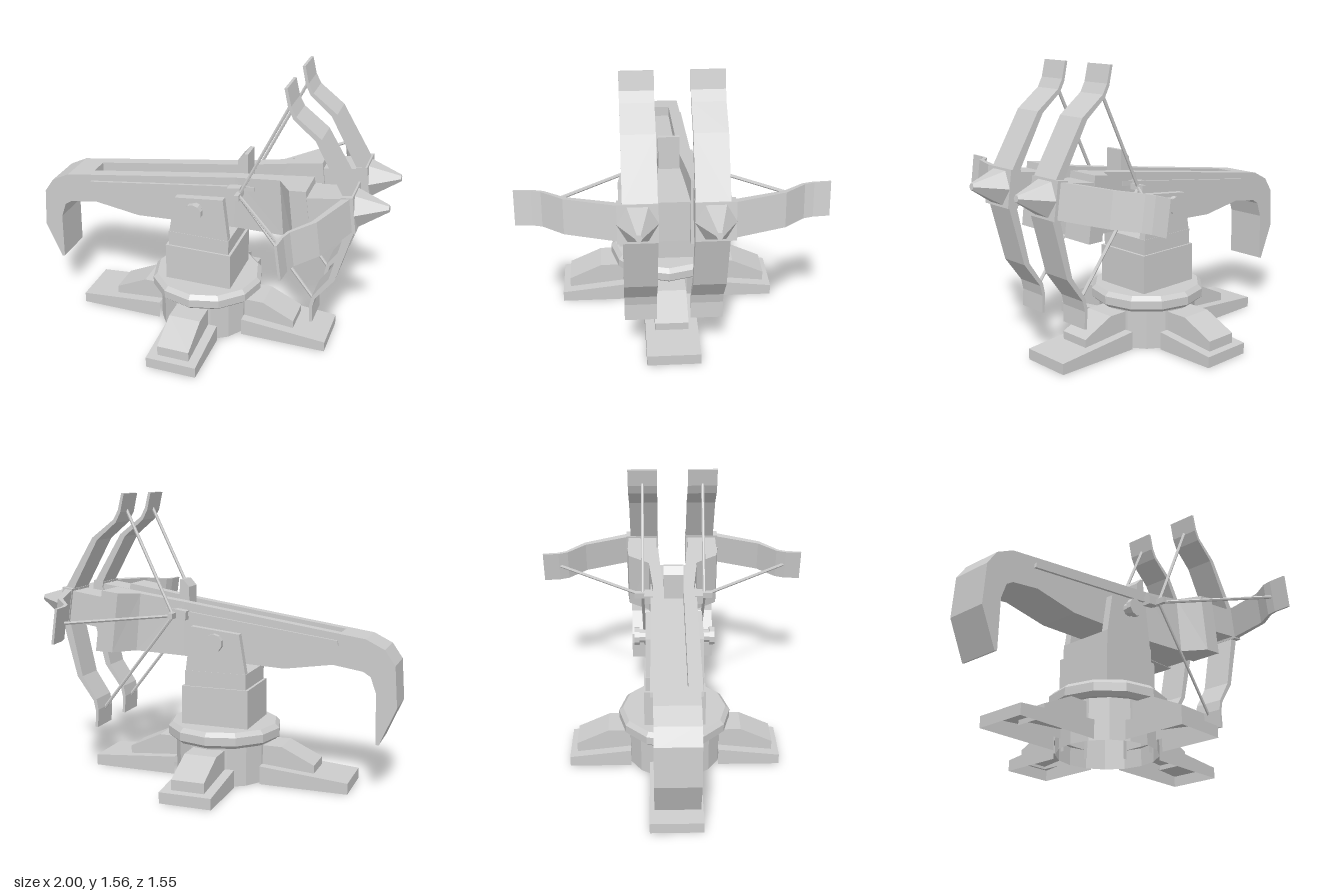
import * as THREE from 'three';

const mat = new THREE.MeshStandardMaterial({ color: 0xcccccc, flatShading: true, side: THREE.DoubleSide });
const V = (x, y, z) => new THREE.Vector3(x, y, z);

function add(parent, name, geo, x = 0, y = 0, z = 0) {
  const m = new THREE.Mesh(geo, mat);
  m.name = name;
  m.position.set(x, y, z);
  parent.add(m);
  return m;
}

// Plate cut from an XY outline, spanning z0..z1
function plate(pts, z0, z1) {
  const shape = new THREE.Shape(pts.map(p => new THREE.Vector2(p[0], p[1])));
  return new THREE.ExtrudeGeometry(shape, { depth: z1 - z0, bevelEnabled: false }).translate(0, 0, z0);
}

// Skin between equal-sized cross-sections; closed rings also get end caps
function loft(sections, closed) {
  const pos = [];
  const quad = (a, b, c, d) => [a, b, c, a, c, d].forEach(p => pos.push(...p));
  const n = sections[0].length;
  for (let i = 0; i < sections.length - 1; i++) {
    for (let j = 0; j < (closed ? n : n - 1); j++) {
      const k = (j + 1) % n;
      quad(sections[i][j], sections[i + 1][j], sections[i + 1][k], sections[i][k]);
    }
  }
  if (closed) {
    quad(...sections[0]);
    quad(...[...sections[sections.length - 1]].reverse());
  }
  const g = new THREE.BufferGeometry();
  g.setAttribute('position', new THREE.Float32BufferAttribute(pos, 3));
  g.computeVertexNormals();
  return g;
}

// Round bar between two points
function rod(a, b, r) {
  const d = b.clone().sub(a);
  const g = new THREE.CylinderGeometry(r, r, d.length(), 6);
  g.applyQuaternion(new THREE.Quaternion().setFromUnitVectors(V(0, 1, 0), d.normalize()));
  const c = a.clone().add(b).multiplyScalar(0.5);
  return g.translate(c.x, c.y, c.z);
}

// Hollow foot, open below: steps are [distance, height]
function foot(steps, w, y0) {
  return loft([[steps[0][0], y0], ...steps].map(([d, h]) =>
    [[d, y0, -w], [d, h, -w], [d, h, w], [d, y0, w]]), false);
}

function buildBase(root) {
  const base = new THREE.Group();
  base.name = 'base';
  base.position.x = -0.025;
  root.add(base);
  for (let i = 0; i < 4; i++) {
    const leg = new THREE.Group();
    leg.name = 'leg';
    leg.rotation.y = i * Math.PI / 2;
    const L = i % 2 ? 0.6 : 0.735, U = i % 2 ? 0.56 : 0.54;
    add(leg, 'footSlab', foot([[L, 0.06], [0.25, 0.1]], 0.142, 0));
    add(leg, 'footWedge', foot([[U, 0.12], [U - 0.18, 0.205], [0.23, 0.205]], 0.09, 0.05));
    base.add(leg);
  }
  add(base, 'hub', new THREE.CylinderGeometry(0.27, 0.27, 0.23, 16, 1, true), 0, 0.115, 0);
  const ring = [[0.24, 0.22], [0.295, 0.22], [0.318, 0.24], [0.318, 0.285], [0.295, 0.308], [0, 0.308]];
  add(base, 'turntable', new THREE.LatheGeometry(ring.map(p => new THREE.Vector2(...p)), 12));
  add(base, 'pedestal', new THREE.BoxGeometry(0.38, 0.22, 0.34), 0, 0.41, 0);
  add(base, 'pedestalTop', new THREE.BoxGeometry(0.35, 0.09, 0.32), 0, 0.56, 0);

  // Fork cheeks and pivot pins on both sides of the beam
  for (const s of [1, -1]) {
    const side = new THREE.Group();
    side.name = 'fork';
    side.scale.z = s;
    add(side, 'forkCheek', plate([[-0.172, 0.6], [0.172, 0.6], [0.14, 0.85], [-0.135, 0.82]], 0.117, 0.158));
    const pin = add(side, 'pivotPin', new THREE.CylinderGeometry(0.036, 0.036, 0.06, 10), -0.01, 0.775, 0.17);
    const cap = add(side, 'pivotCap', new THREE.CylinderGeometry(0.05, 0.05, 0.028, 10), -0.01, 0.775, 0.205);
    pin.rotation.x = cap.rotation.x = Math.PI / 2;
    base.add(side);
  }
}

function buildBeam(root) {
  const beam = new THREE.Group();
  beam.name = 'beam';
  root.add(beam);
  const hook = [[-0.66, 0.685], [-0.82, 0.66], [-0.86, 0.635], [-0.89, 0.55], [-0.895, 0.28], [-0.91, 0.275],
    [-1, 0.48], [-0.985, 0.7], [-0.93, 0.78], [-0.83, 0.83]];
  // Core with the sunken bolt slot
  add(beam, 'beamCore', plate([[0.6, 0.7], [0.3, 0.69], [0.1, 0.67], [-0.4, 0.645], ...hook,
    [-0.69, 0.85], [-0.69, 0.79], [0.17, 0.905], [0.595, 0.92]], -0.09, 0.09));
  // Sight block at the end of the slot
  add(beam, 'sightPeg', plate([[0.165, 0.88], [0.225, 0.88], [0.22, 1.09], [0.2, 1.09], [0.165, 1.05]], -0.055, 0.055));

  for (const s of [1, -1]) {
    const side = new THREE.Group();
    side.name = 'beamSide';
    side.scale.z = s;
    beam.add(side);
    add(side, 'sideWall', plate([[0.17, 0.676], [0.1, 0.67], [-0.4, 0.645], ...hook, [0.17, 0.975]], 0.055, 0.115));
    // Splayed arm carrying the launcher: [topX, topY, bottomX, bottomY, inner z, outer z]
    const arm = [
      [0.17, 0.975, 0.17, 0.676, 0.055, 0.115],
      [0.42, 1.012, 0.45, 0.692, 0.075, 0.14],
      [0.5, 1.024, 0.54, 0.696, 0.08, 0.26],
      [0.59, 1.037, 0.635, 0.7, 0.085, 0.27],
    ];
    add(side, 'launcherArm', loft(arm.map(([a, b, c, d, i, o]) => [[a, b, i], [a, b, o], [c, d, o], [c, d, i]]), true));
    add(side, 'sideRail', plate([[-0.69, 0.788], [0.28, 0.918], [0.28, 0.943], [-0.685, 0.815]], 0.11, 0.13));
    add(side, 'slider', plate([[0.145, 0.88], [0.215, 0.89], [0.21, 0.94], [0.14, 0.93]], 0.11, 0.165));
    add(side, 'stringCatch', plate([[0.2, 0.89], [0.225, 0.893], [0.222, 0.925], [0.197, 0.922]], 0.13, 0.22));
  }
}

// One bow limb outline as [forward, outward]
const outer = [[0.265, 0.02], [0.281, 0.091], [0.153, 0.392], [0.038, 0.51], [0.018, 0.564], [0.009, 0.656]];
const inner = [[-0.006, 0.656], [0.002, 0.555], [0.022, 0.497], [0.122, 0.385], [0.231, 0.098], [0.215, 0.02]];

function buildLaunchers(root) {
  const frame = new THREE.Group();
  frame.name = 'launchers';
  frame.position.set(0.555, 0.91, 0);
  frame.rotation.z = 0.143;
  root.add(frame);
  for (const s of [1, -1]) {
    const side = new THREE.Group();
    side.name = 'launcher';
    side.scale.z = s;
    frame.add(side);
    const zc = 0.182, start = V(-0.342, 0.044, 0.175);
    add(side, 'head', new THREE.BoxGeometry(0.22, 0.17, 0.17), 0.14, 0, zc);
    add(side, 'collar', new THREE.BoxGeometry(0.06, 0.195, 0.195), 0.258, 0, zc);
    const nose = new THREE.CylinderGeometry(0.018, 0.1, 0.16, 6).rotateZ(-Math.PI / 2);
    add(side, 'nose', nose, 0.366, 0, zc);

    // Upright limbs, above and below
    for (const t of [1, -1]) {
      const limb = add(side, 'uprightLimb', plate([...outer, ...inner], 0.087, 0.253));
      limb.scale.y = t;
      add(side, 'bowString', rod(start, V(0.01, t * 0.57, 0.17), 0.009));
    }
    // Sideways limb, slightly shorter
    const flat = [...outer, ...inner].map(([u, v]) => [0.28 - (0.28 - u) * 0.87, v * 0.92]);
    const limb = add(side, 'sideLimb', plate(flat, -0.09, 0.09), 0, 0, 0.17);
    limb.rotation.x = Math.PI / 2;
    add(side, 'bowString', rod(start, V(0.045, 0, 0.67), 0.009));
  }
}

export function createModel() {
  const root = new THREE.Group();
  root.name = 'twinBallista';
  buildBase(root);
  buildBeam(root);
  buildLaunchers(root);
  return root;
}
